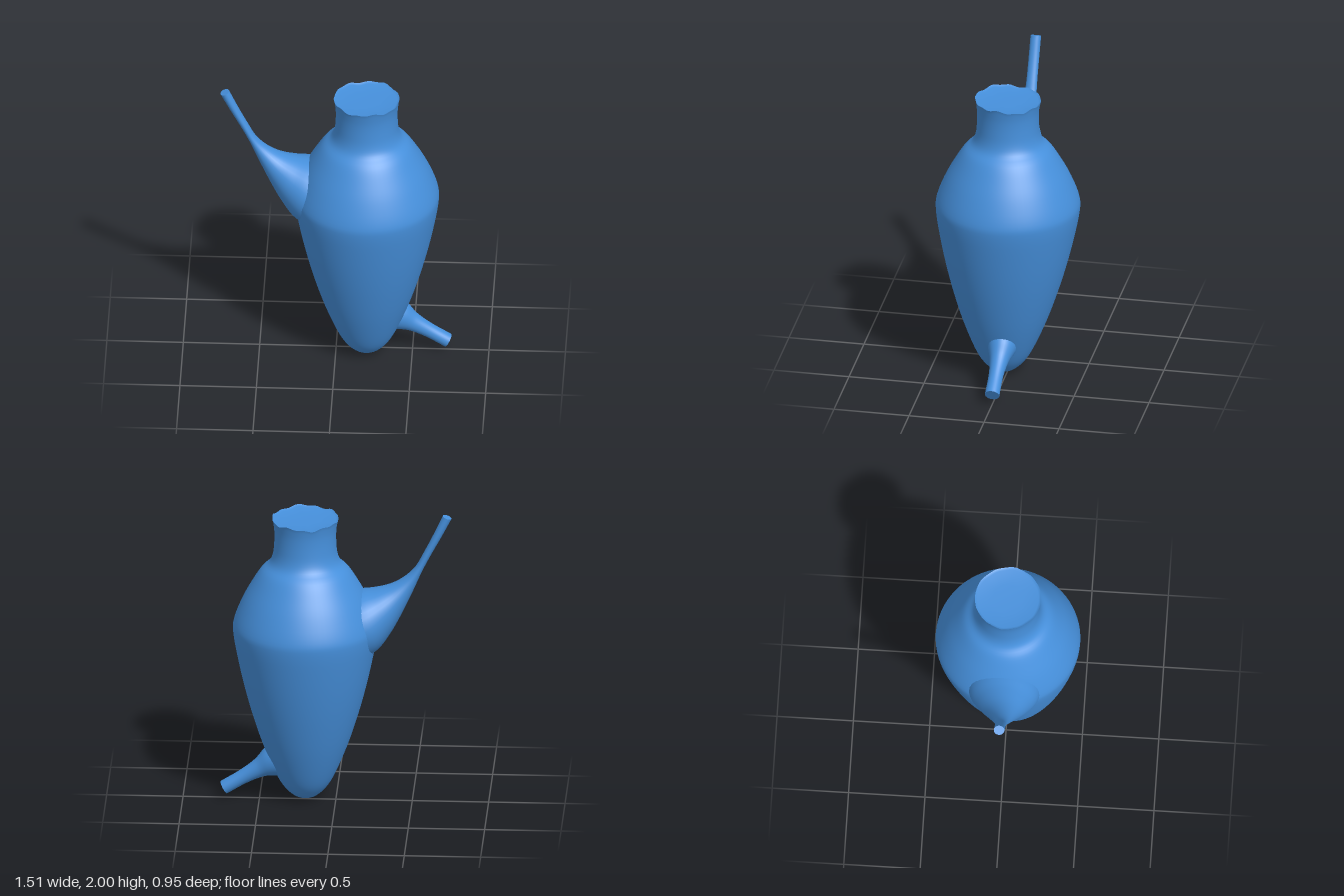
import * as THREE from 'three';
import { mergeVertices } from 'three/addons/utils/BufferGeometryUtils.js';

const material = new THREE.MeshStandardMaterial({ color: 0x4690dc, side: THREE.DoubleSide });

function addPart(group, name, geometry) {
  const mesh = new THREE.Mesh(geometry, material);
  mesh.name = name;
  group.add(mesh);
}

// Turned shape on the vessel axis, leaning slightly and with a worn, uneven rim
function turned(points) {
  const geo = new THREE.LatheGeometry(points, 72);
  const pos = geo.attributes.position;
  for (let i = 0; i < pos.count; i++) {
    const x = pos.getX(i), y = pos.getY(i), z = pos.getZ(i);
    const a = Math.atan2(z, x);
    const r = Math.hypot(x, z);
    const atRim = THREE.MathUtils.smoothstep(y, 1.88, 1.96) * Math.min(1, r / 0.2);
    const wobble = 0.006 * Math.sin(5 * a + 1) + 0.005 * Math.sin(11 * a) + 0.008 * Math.sin(a);
    pos.setXYZ(i, x + 0.2, y + atRim * wobble, z + 0.03 * Math.max(0, 1 - y / 1.2));
  }
  return geo;
}

// Tube lofted through ellipses; each section is [upper x, upper y, lower x, lower y, half width]
function loftedTube(sections, rings = 36, sides = 32) {
  const upper = new THREE.CatmullRomCurve3(sections.map(s => new THREE.Vector3(s[0], s[1], 0)));
  const lower = new THREE.CatmullRomCurve3(sections.map(s => new THREE.Vector3(s[2], s[3], 0)));
  const width = new THREE.CatmullRomCurve3(sections.map((s, i) => new THREE.Vector3(i, s[4], 0)));
  const positions = [], index = [];
  for (let i = 0; i <= rings; i++) {
    const t = i / rings;
    const u = upper.getPoint(t), l = lower.getPoint(t), w = width.getPoint(t).y;
    const mid = u.clone().add(l).multiplyScalar(0.5);
    const half = u.clone().sub(l).multiplyScalar(0.5);
    for (let j = 0; j < sides; j++) {
      const a = (j / sides) * Math.PI * 2;
      positions.push(mid.x + half.x * Math.cos(a), mid.y + half.y * Math.cos(a), w * Math.sin(a));
    }
  }
  // Skin, wound so that it faces outward when the tube runs from root to tip
  const outward = sections[0][0] < sections.at(-1)[0];
  for (let i = 0; i < rings; i++) {
    for (let j = 0; j < sides; j++) {
      const a = i * sides + j, b = i * sides + (j + 1) % sides, c = a + sides, d = b + sides;
      if (outward) index.push(a, b, c, b, d, c);
      else index.push(a, c, b, b, c, d);
    }
  }
  const geo = new THREE.BufferGeometry();
  geo.setAttribute('position', new THREE.Float32BufferAttribute(positions, 3));
  geo.setIndex(index);
  geo.computeVertexNormals();
  return geo;
}

// Flat end closing a tube at its last section
function tubeEnd([ux, uy, lx, ly, w]) {
  const geo = new THREE.CircleGeometry(1, 32);
  const pos = geo.attributes.position;
  for (let i = 0; i < pos.count; i++) {
    const k = pos.getY(i);
    pos.setXYZ(i, (ux + lx) / 2 + k * (ux - lx) / 2, (uy + ly) / 2 + k * (uy - ly) / 2,
      -pos.getX(i) * w * Math.sign(ux));
  }
  const merged = mergeVertices(geo);
  merged.computeVertexNormals();
  return merged;
}

export function createModel() {
  const group = new THREE.Group();

  // Pointed body, shoulder and neck
  const profile = [
    [0, 0], [0.07, 0.02], [0.14, 0.085], [0.2, 0.19], [0.28, 0.39], [0.347, 0.6], [0.4, 0.8],
    [0.443, 1.0], [0.471, 1.17], [0.465, 1.26], [0.41, 1.4], [0.345, 1.52], [0.29, 1.605],
    [0.235, 1.66], [0.211, 1.72], [0.203, 1.8], [0.203, 1.88], [0.21, 1.94], [0.216, 1.965]
  ].map(p => new THREE.Vector2(...p));
  const smooth = new THREE.SplineCurve(profile).getPoints(72);
  smooth.forEach(p => { p.x = Math.max(0, p.x); p.y = Math.max(0, p.y); });
  addPart(group, 'body', turned(smooth));

  // Shallow surface closing the mouth
  const mouth = [[0.216, 1.965], [0.2, 1.955], [0.1, 1.95], [0, 1.95]];
  addPart(group, 'mouth', turned(mouth.map(p => new THREE.Vector2(...p))));

  // Tall spout flaring out of the shoulder
  const spout = [
    [0.0, 1.44, -0.18, 1.0, 0.26], [-0.16, 1.465, -0.28, 1.07, 0.225], [-0.25, 1.48, -0.36, 1.18, 0.172],
    [-0.36, 1.515, -0.43, 1.31, 0.11], [-0.45, 1.57, -0.5, 1.46, 0.065], [-0.52, 1.64, -0.565, 1.61, 0.042],
    [-0.575, 1.74, -0.62, 1.72, 0.036], [-0.64, 1.87, -0.69, 1.85, 0.035], [-0.70, 2.0, -0.757, 1.98, 0.035]
  ];
  addPart(group, 'spout', loftedTube(spout));
  addPart(group, 'spoutTip', tubeEnd(spout.at(-1)));

  // Short drain pipe near the foot
  const drain = [
    [0.42, 0.39, 0.33, 0.16, 0.1], [0.47, 0.345, 0.4, 0.165, 0.085], [0.53, 0.27, 0.47, 0.155, 0.062],
    [0.63, 0.19, 0.575, 0.11, 0.048], [0.755, 0.11, 0.71, 0.03, 0.048]
  ];
  addPart(group, 'drainPipe', loftedTube(drain));
  addPart(group, 'drainTip', tubeEnd(drain.at(-1)));

  return group;
}
